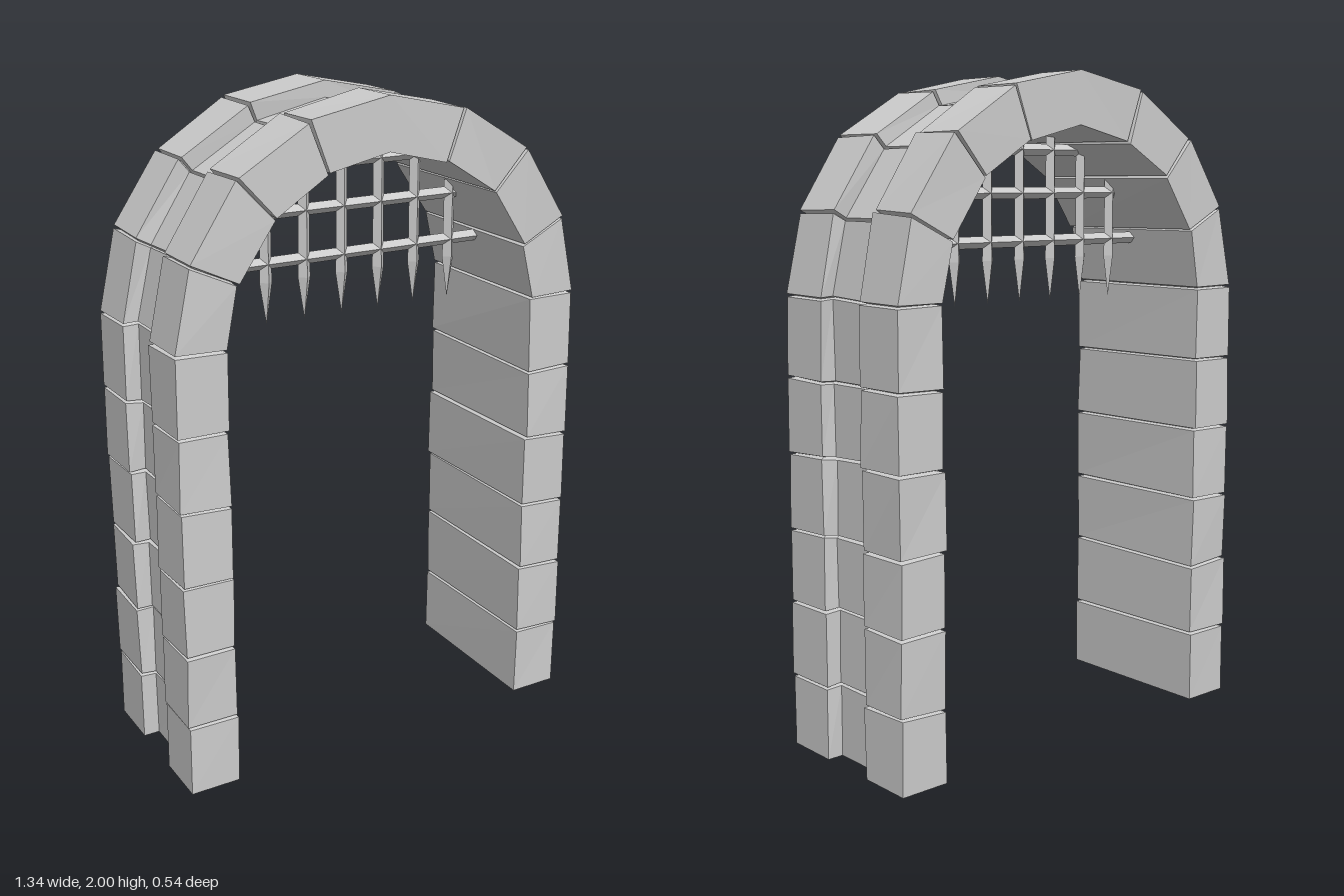
import * as THREE from 'three';

const stone = new THREE.MeshStandardMaterial({ color: 0xcccccc, flatShading: true, side: THREE.DoubleSide });
const iron = new THREE.MeshStandardMaterial({ color: 0xcccccc, flatShading: true });

// Small seeded random in -1..1
let seed = 7;
const rnd = () => {
  seed = (seed * 16807) % 2147483647;
  return (seed / 2147483647) * 2 - 1;
};

// Stations along the arch: inner x, inner y, outer x, outer y
const half = [
  ...[0, 0.22, 0.45, 0.67, 0.9, 1.12, 1.355].map(y => [0.51, y, 0.665, y]),
  [0.475, 1.53, 0.61, 1.6], [0.36, 1.7, 0.465, 1.815], [0.195, 1.8, 0.245, 1.95],
];
const stations = [...half, [0, 1.845, 0, 2], ...half.slice().reverse().map(([a, b, c, d]) => [-a, b, -c, d])];
const last = stations.length - 1;
const crown = last / 2;

// Cross-section: [inner-to-outer fraction, z], with the recess on the outside
const section = [[0, -0.268], [0, 0.268], [1, 0.268], [1, 0.096], [0.68, 0.096], [0.68, -0.096], [1, -0.096], [1, -0.268]];
// The same section, pulled in at the bottom of a joint
const sunken = section.map(([t, z]) => [
  t === 0 ? 0.1 : t - 0.1,
  Math.abs(z) > 0.2 ? Math.sign(z) * 0.25 : Math.sign(z) * 0.112,
]);

// Point on the arch at continuous station u, for a section point
function pointAt(u, [t, z]) {
  const i = Math.min(Math.max(Math.floor(u), 0), last - 1);
  const f = u - i;
  const s = stations[i].map((v, k) => v + (stations[i + 1][k] - v) * f);
  return [s[0] + (s[2] - s[0]) * t, s[1] + (s[3] - s[1]) * t, z];
}

// Uneven joint: the edge below, the bottom of the groove, the edge above
function makeJoint(i) {
  const tilt = section.map(() => rnd() * 0.022);
  const ring = off => section.map((p, j) =>
    pointAt(i + tilt[j] + off, [p[0] + rnd() * 0.025, p[1] + rnd() * 0.004]));
  return { below: ring(-0.02), bottom: sunken.map((p, j) => pointAt(i + tilt[j], p)), above: ring(0.02) };
}

// Skin a run of rings, open at the ends
function skin(rings) {
  const pos = [];
  for (let r = 0; r < rings.length - 1; r++) {
    for (let j = 0; j < section.length; j++) {
      const k = (j + 1) % section.length;
      const a = rings[r][j], b = rings[r][k], c = rings[r + 1][k], d = rings[r + 1][j];
      pos.push(...a, ...b, ...c, ...a, ...c, ...d);
    }
  }
  const g = new THREE.BufferGeometry();
  g.setAttribute('position', new THREE.Float32BufferAttribute(pos, 3));
  g.computeVertexNormals();
  return g;
}

function makeStonework() {
  const group = new THREE.Group();
  group.name = 'stonework';
  const flat = i => section.map(p => pointAt(i, p));
  let start = [flat(0)];
  for (let i = 1; i <= last; i++) {
    if (i === crown) { // the keystone bends at the crown without a joint
      start.push(flat(i));
      continue;
    }
    const joint = i < last ? makeJoint(i) : null;
    const rings = joint ? [...start, joint.below, joint.bottom] : [...start, flat(last)];
    const mesh = new THREE.Mesh(skin(rings), stone);
    mesh.name = i === crown + 1 ? 'keystone' : 'stoneCourse';
    group.add(mesh);
    if (joint) start = [joint.bottom, joint.above];
  }
  return group;
}

function makePortcullis() {
  const group = new THREE.Group();
  group.name = 'portcullis';
  const add = (name, geometry, x, y) => {
    const mesh = new THREE.Mesh(geometry, iron);
    mesh.name = name;
    mesh.position.set(x, y, 0);
    group.add(mesh);
    return mesh;
  };
  // Horizontal bars, diamond in section
  for (const [y, reach] of [[1.505, 0.485], [1.65, 0.405], [1.78, 0.26]]) {
    add('crossBar', new THREE.CylinderGeometry(0.018, 0.018, reach * 2, 4), 0, y).rotation.z = Math.PI / 2;
  }
  // Upright bars ending in spikes
  const tops = [1.855, 1.835, 1.785, 1.69];
  for (let n = -3; n <= 3; n++) {
    const x = n * 0.127, top = tops[Math.abs(n)];
    add('uprightBar', new THREE.CylinderGeometry(0.019, 0.019, top - 1.5, 4), x, (top + 1.5) / 2);
    add('spikeShoulder', new THREE.CylinderGeometry(0.019, 0.021, 0.05, 4), x, 1.475);
    add('spike', new THREE.ConeGeometry(0.021, 0.13, 4), x, 1.385).rotation.x = Math.PI;
  }
  return group;
}

export function createModel() {
  seed = 7;
  const model = new THREE.Group();
  model.name = 'gateArch';
  model.add(makeStonework(), makePortcullis());
  return model;
}
